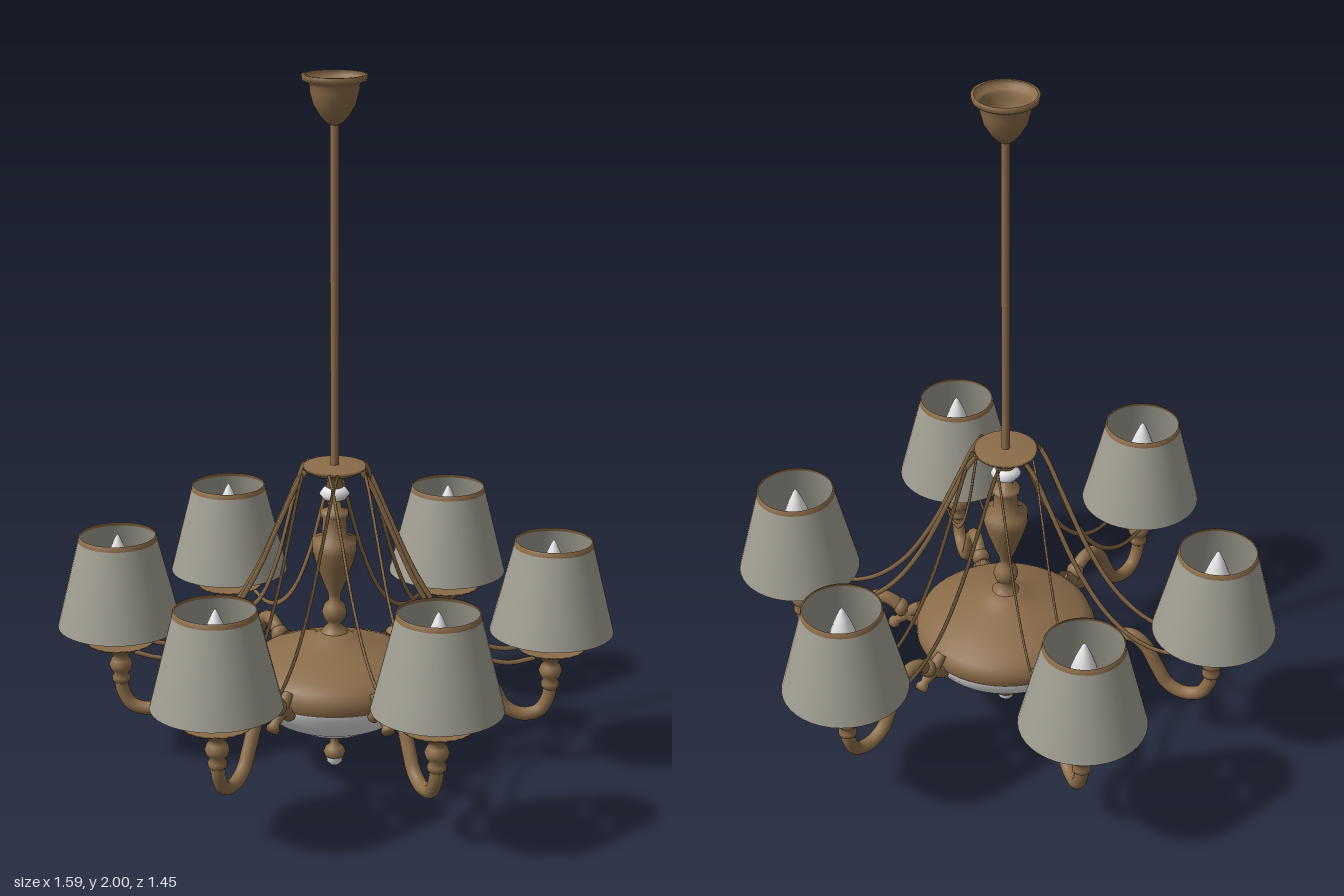
import * as THREE from 'three';

const mat = (name, color) => {
  const m = new THREE.MeshStandardMaterial({ color, side: THREE.DoubleSide });
  m.name = name;
  return m;
};

// Profiles are [radius, height] pairs listed from bottom to top
const lathe = (name, pts, material, segments = 32) => {
  const g = new THREE.LatheGeometry(pts.map(([r, y]) => new THREE.Vector2(r, y)), segments);
  const m = new THREE.Mesh(g, material);
  m.name = name;
  return m;
};

// Tube through [radius, height] points lying in the arm's own vertical plane
const tube = (name, pts, radius, material, segments = 40, sides = 10) => {
  const curve = new THREE.CatmullRomCurve3(pts.map(([x, y]) => new THREE.Vector3(x, y, 0)));
  const m = new THREE.Mesh(new THREE.TubeGeometry(curve, segments, radius, sides), material);
  m.name = name;
  return m;
};

export function createModel() {
  const brass = mat('aged brass', 0x8b6c49);
  const fabric = mat('grey shade fabric', 0xa09e92);
  const glass = mat('white glass', 0xe4e4e6);
  const model = new THREE.Group();
  model.name = 'chandelier';
  const fixture = new THREE.Group();
  fixture.name = 'fixture';
  fixture.position.z = -0.01;
  model.add(fixture);

  // Ceiling canopy, open at the top, and the long rod
  fixture.add(lathe('canopy', [
    [0.012, 1.865], [0.022, 1.87], [0.04, 1.89], [0.058, 1.92], [0.067, 1.955],
    [0.068, 1.972], [0.075, 1.978], [0.088, 1.985], [0.09, 2.0], [0.082, 2.0],
  ], brass));
  const rod = new THREE.Mesh(new THREE.CylinderGeometry(0.012, 0.012, 1.1, 16), brass);
  rod.name = 'rod';
  rod.position.y = 1.4;
  fixture.add(rod);

  // Crown holding the chains, glass bead, and turned column
  fixture.add(lathe('crown', [
    [0.012, 0.84], [0.025, 0.85], [0.02, 0.865], [0.035, 0.88], [0.07, 0.892],
    [0.088, 0.903], [0.088, 0.912], [0.012, 0.914],
  ], brass));
  fixture.add(lathe('glassBead', [
    [0.012, 0.807], [0.032, 0.814], [0.043, 0.829], [0.032, 0.844], [0.012, 0.851],
  ], glass));
  fixture.add(lathe('column', [
    [0.05, 0.40], [0.032, 0.425], [0.018, 0.44], [0.03, 0.455], [0.036, 0.475],
    [0.03, 0.497], [0.017, 0.51], [0.018, 0.53], [0.034, 0.57], [0.052, 0.62],
    [0.063, 0.66], [0.064, 0.695], [0.036, 0.703], [0.034, 0.755], [0.04, 0.765],
    [0.04, 0.778], [0.02, 0.785], [0.018, 0.8], [0.0, 0.81],
  ], brass));

  // Body dome, glass bowl and bottom finial
  fixture.add(lathe('bodyDome', [
    [0.252, 0.255], [0.262, 0.268], [0.262, 0.295], [0.25, 0.32], [0.22, 0.343],
    [0.16, 0.366], [0.1, 0.385], [0.06, 0.4], [0.04, 0.415], [0, 0.418],
  ], brass, 48));
  fixture.add(lathe('glassBowl', [
    [0, 0.113], [0.06, 0.116], [0.12, 0.135], [0.185, 0.17], [0.23, 0.21],
    [0.25, 0.24], [0.254, 0.262],
  ], glass, 48));
  fixture.add(lathe('finial', [
    [0.016, 0.022], [0.028, 0.03], [0.032, 0.043], [0.026, 0.058], [0.014, 0.067],
    [0.012, 0.085], [0.02, 0.095], [0.032, 0.105], [0.034, 0.116],
  ], brass, 20));
  fixture.add(lathe('finialTip', [
    [0, 0], [0.012, 0.003], [0.022, 0.013], [0.024, 0.027],
  ], glass, 16));

  // Six arms, each built along +x and turned to its own bearing
  const bearings = [179, 125.6, 60.5, 5.1, -59.9, -115.8];
  for (const bearing of bearings) {
    const arm = new THREE.Group();
    arm.name = 'arm';
    arm.rotation.y = THREE.MathUtils.degToRad(bearing);
    fixture.add(arm);

    arm.add(tube('armCurve', [
      [0.62, 0.27], [0.617, 0.215], [0.59, 0.168], [0.54, 0.157], [0.493, 0.18],
      [0.46, 0.235], [0.425, 0.3], [0.385, 0.332], [0.345, 0.325], [0.3, 0.285], [0.25, 0.25],
    ], 0.02, brass, 48, 12));

    // Turned bead on the inner end of the arm
    const bead = new THREE.Mesh(new THREE.SphereGeometry(0.028, 14, 10), brass);
    bead.name = 'armBead';
    bead.position.set(0.315, 0.3, 0);
    bead.scale.set(0.8, 1, 1);
    arm.add(bead);

    // Short turned peg leaning out of the body
    const peg = lathe('bodyPeg', [
      [0, 0], [0.017, 0], [0.02, 0.012], [0.013, 0.025], [0.02, 0.06], [0.015, 0.12],
    ], brass, 12);
    peg.position.set(0.345, 0.235, 0);
    peg.rotation.z = 0.82;
    arm.add(peg);

    // Flat drooping straps, a pair from the crown to the tray
    for (const side of [-1, 1]) {
      const strap = tube('strap', [
        [0.075, 0.908], [0.1, 0.87], [0.15, 0.755], [0.23, 0.575], [0.32, 0.435],
        [0.41, 0.36], [0.49, 0.337], [0.57, 0.352],
      ], 0.008, brass, 32, 6);
      strap.scale.z = 0.4;
      strap.position.z = side * 0.054;
      arm.add(strap);
    }

    // Lamp: holder, drip tray, candle, bulb and shade
    const lamp = new THREE.Group();
    lamp.name = 'lamp';
    lamp.position.x = 0.62;
    arm.add(lamp);
    lamp.add(lathe('holder', [
      [0.018, 0.235], [0.026, 0.243], [0.026, 0.255], [0.02, 0.265], [0.03, 0.278],
      [0.034, 0.292], [0.028, 0.308], [0.021, 0.316], [0.03, 0.328], [0.05, 0.345],
      [0.075, 0.357], [0.097, 0.363], [0.097, 0.367], [0.05, 0.362], [0, 0.36],
    ], brass, 24));
    lamp.add(lathe('candle', [[0.027, 0.355], [0.027, 0.56], [0, 0.56]], brass, 16));
    lamp.add(lathe('bulb', [
      [0, 0.55], [0.026, 0.553], [0.039, 0.575], [0.036, 0.605], [0.022, 0.645],
      [0.009, 0.675], [0, 0.69],
    ], glass, 12));
    lamp.add(lathe('shade', [[0.177, 0.415], [0.112, 0.675]], fabric, 40));
    lamp.add(lathe('shadeTrim', [[0.1135, 0.671], [0.111, 0.685], [0.107, 0.685]], brass, 40));
  }
  return model;
}
